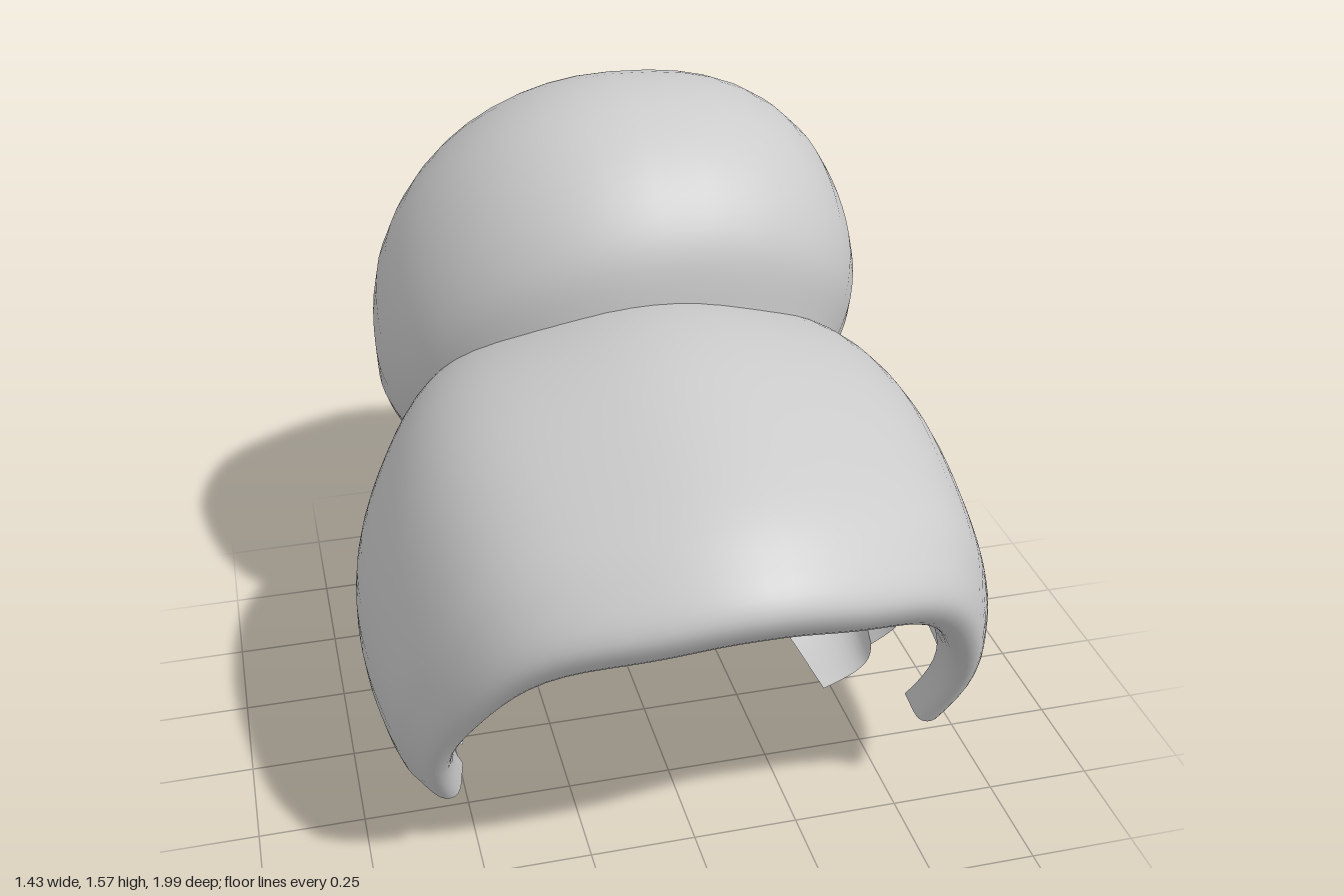
import * as THREE from 'three';
import { mergeVertices } from 'three/addons/utils/BufferGeometryUtils.js';

const material = new THREE.MeshStandardMaterial({ color: 0xcccccc, side: THREE.DoubleSide });
const V = (x, y, z) => new THREE.Vector3(x, y, z);

// Smooth surface through cross-sections that all have the same number of points
function loft(name, sections, steps) {
  const cols = sections[0].length;
  const positions = [], index = [];
  for (let j = 0; j < cols; j++) {
    const curve = new THREE.CatmullRomCurve3(sections.map((s) => s[j]), false, 'catmullrom', 0.5);
    for (let i = 0; i <= steps; i++) positions.push(...curve.getPoint(i / steps).toArray());
  }
  for (let j = 0; j < cols - 1; j++) {
    for (let i = 0; i < steps; i++) {
      const a = j * (steps + 1) + i, b = a + steps + 1;
      index.push(a, a + 1, b, a + 1, b + 1, b);
    }
  }
  let geometry = new THREE.BufferGeometry();
  geometry.setAttribute('position', new THREE.Float32BufferAttribute(positions, 3));
  geometry.setIndex(index);
  geometry = mergeVertices(geometry, 1e-4);
  geometry.computeVertexNormals();
  const mesh = new THREE.Mesh(geometry, material);
  mesh.name = name;
  return mesh;
}

// Arch section: top point, half width, bottom point; slightly tucked in below, with soft grooves
function arch([zTop, yTop, width, zBottom, yBottom]) {
  const end = THREE.MathUtils.degToRad(105), points = [];
  for (let j = 0; j <= 48; j++) {
    const a = (j / 24 - 1) * end;
    const drop = (1 - Math.cos(a)) / (1 - Math.cos(end));
    const groove = Math.cos(8 * a) - 1;
    points.push(V(
      Math.sin(a) * width * (1.01 + 0.01 * groove),
      yTop + (yBottom - yTop) * Math.pow(drop, 1.12) + 0.008 * groove * Math.cos(a),
      zTop + (zBottom - zTop) * Math.pow(drop, 0.85)
    ));
  }
  return points;
}

// Ring of the bun in its tilted frame: height, upper and lower reach, half width, side shift
function bunRing([height, upper, lower, width, shift]) {
  const points = [];
  const skew = 0.09 * Math.max(0, 1 - height / 0.24); // the rim dips into the front hair
  for (let j = 0; j <= 40; j++) {
    const a = -(j % 40) / 40 * Math.PI * 2;
    const c = Math.cos(a), s = Math.sin(a);
    const power = c > 0 && s > 0 ? 0.86 : 0.96; // fuller at the upper left
    const soften = (t) => Math.sign(t) * Math.pow(Math.abs(t), power);
    const u = (upper + lower) / 2 + (upper - lower) / 2 * soften(c) - 0.16 * width * Math.min(0, s) ** 2;
    const n = height - skew * c;
    points.push(V(shift + width * soften(s), 0.83 + 0.57 * n + 0.82 * u, -0.21 - 0.82 * n + 0.57 * u));
  }
  return points;
}

// Curved band between two edges, bulging away from the head
function band(name, lower, upper, bulge) {
  const low = new THREE.CatmullRomCurve3(lower.map((p) => V(...p)));
  const high = new THREE.CatmullRomCurve3(upper.map((p) => V(...p)));
  const sections = [];
  for (let k = 0; k <= 8; k++) {
    const v = k / 8, row = [];
    for (let j = 0; j <= 20; j++) {
      const p = low.getPoint(j / 20).lerp(high.getPoint(j / 20), v);
      const out = V(p.x, -0.15, p.z - 0.1).normalize();
      row.push(p.addScaledVector(out, bulge * Math.sin(Math.PI * v)));
    }
    sections.push(row);
  }
  return loft(name, sections, 10);
}

export function createModel() {
  const model = new THREE.Group();
  model.name = 'hair';

  // Swept front hair, from the rolled front lip back to the nape
  model.add(loft('frontHair', [
    [0.84, 0.89, 0.55, 0.44, 0.28],
    [0.94, 0.885, 0.57, 0.49, 0.24],
    [1.0, 0.97, 0.61, 0.5, 0.24],
    [0.94, 1.05, 0.65, 0.45, 0.25],
    [0.78, 1.135, 0.685, 0.38, 0.265],
    [0.4, 1.215, 0.71, 0.2, 0.285],
    [0.1, 1.205, 0.695, -0.03, 0.295],
    [-0.15, 1.11, 0.63, -0.24, 0.35],
    [-0.36, 0.93, 0.51, -0.43, 0.47],
    [-0.5, 0.64, 0.36, -0.51, 0.56]
  ].map(arch), 54));

  // Large bun, open where it meets the head
  model.add(loft('bun', [
    [0, 0.42, -0.53, 0.5, 0.02],
    [0.1, 0.58, -0.61, 0.565, 0.02],
    [0.24, 0.635, -0.665, 0.595, 0.02],
    [0.45, 0.585, -0.56, 0.565, 0.02],
    [0.64, 0.43, -0.41, 0.45, 0.03],
    [0.75, 0.17, -0.29, 0.28, 0.04],
    [0.81, 0, -0.19, 0.12, 0.05],
    [0.825, -0.1, -0.1, 0, 0.05]
  ].map(bunRing), 36));

  // Two layered side locks sweeping back to the nape
  const seam = [[0.6, 0.13, 0.04], [0.62, 0.17, -0.13], [0.56, 0.25, -0.27], [0.4, 0.42, -0.41], [0.14, 0.66, -0.5]];
  for (const side of [1, -1]) {
    const locks = new THREE.Group();
    locks.name = side > 0 ? 'leftLocks' : 'rightLocks';
    locks.add(band('upperLock', seam,
      [[0.64, 0.31, 0.12], [0.66, 0.33, -0.08], [0.58, 0.42, -0.28], [0.42, 0.55, -0.41], [0.18, 0.68, -0.47]], 0.035));
    locks.add(band('lowerLock',
      [[0.48, 0, 0.03], [0.44, 0.05, -0.14], [0.37, 0.15, -0.3], [0.21, 0.27, -0.43], [0, 0.52, -0.52]],
      seam, 0.045));
    locks.scale.x = side;
    model.add(locks);
  }
  return model;
}
